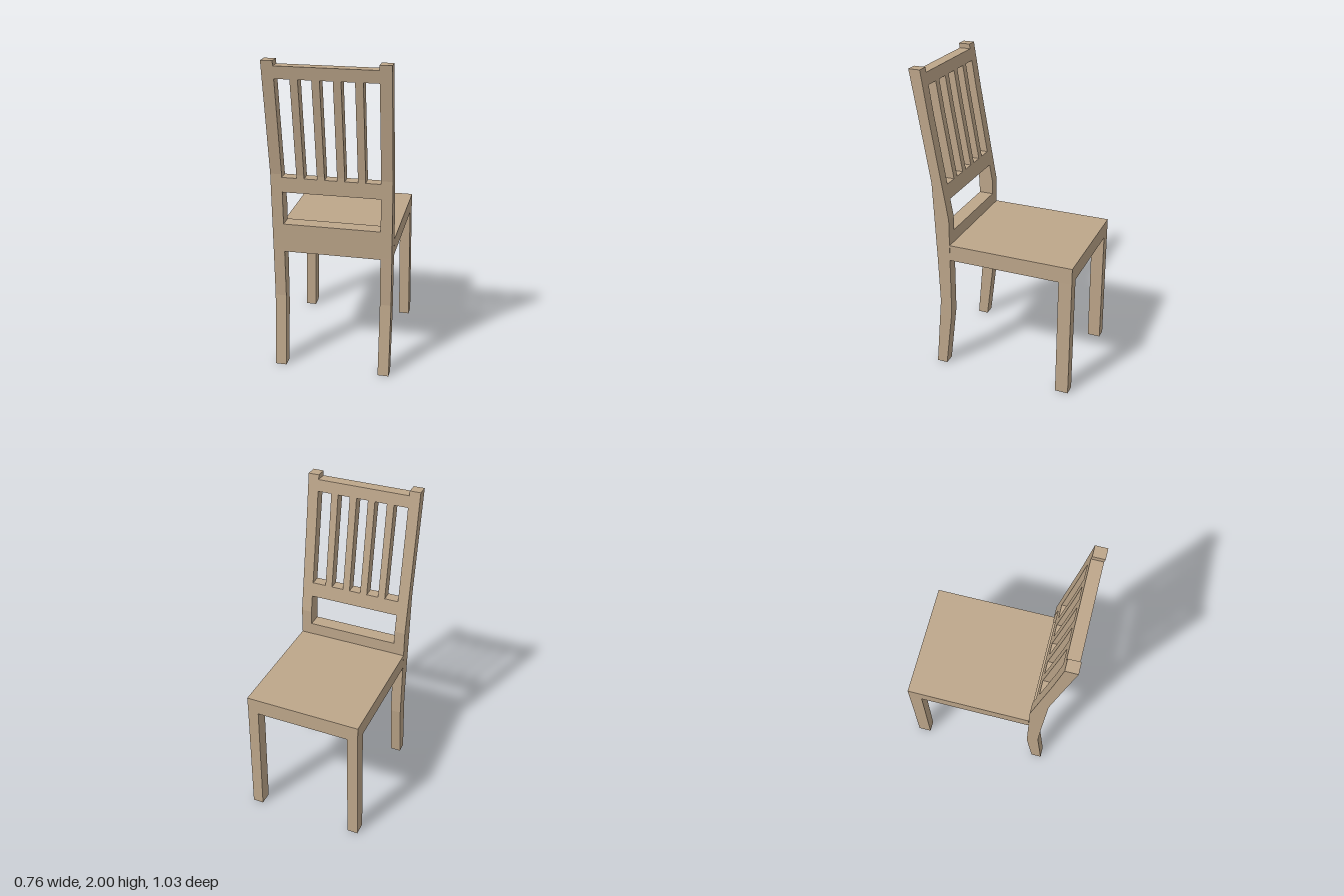
import * as THREE from 'three';

// Side outline of the back frame as [y, z] breakpoints
const INNER = [[0, 0.345], [0.4, 0.296], [1.07, 0.292], [1.71, 0.398], [2, 0.441]];
const OUTER = [[0, 0.414], [0.48, 0.371], [0.8, 0.38], [1.3, 0.399], [1.68, 0.461], [2, 0.515]];

function zAt(curve, y) {
  for (let i = 1; i < curve.length; i++) {
    const [y0, z0] = curve[i - 1], [y1, z1] = curve[i];
    if (y <= y1) return z0 + (z1 - z0) * (y - y0) / (y1 - y0);
  }
  return curve[curve.length - 1][1];
}

// Piece of the bent back frame between two heights and two x positions
function backPiece(x0, x1, y0, y1) {
  const edge = (curve) => [
    [y0, zAt(curve, y0)],
    ...curve.filter(([y]) => y > y0 && y < y1),
    [y1, zAt(curve, y1)],
  ];
  const outline = [...edge(OUTER), ...edge(INNER).reverse()];
  const shape = new THREE.Shape(outline.map(([y, z]) => new THREE.Vector2(-z, y)));
  const geo = new THREE.ExtrudeGeometry(shape, { depth: x1 - x0, bevelEnabled: false });
  geo.rotateY(Math.PI / 2);
  geo.translate(x0, 0, 0);
  return geo;
}

export function createModel() {
  const group = new THREE.Group();
  const wood = new THREE.MeshStandardMaterial({ color: 0xbda68a, flatShading: true });
  wood.name = 'pale wood';

  const add = (name, geo) => {
    const mesh = new THREE.Mesh(geo, wood);
    mesh.name = name;
    group.add(mesh);
  };

  // Thick seat block, reaching back to the rear posts
  const seat = new THREE.BoxGeometry(0.74, 0.105, 0.807);
  seat.translate(0, 0.8425, -0.1115);
  add('seat', seat);

  for (const side of [1, -1]) {
    const label = side > 0 ? 'left' : 'right';

    // Rear leg and back post in one bent piece
    const a = side * 0.3, b = side * 0.37;
    add(label + 'BackPost', backPiece(Math.min(a, b), Math.max(a, b), 0, 2));

    // Straight leg under the free edge, splayed slightly outward
    const leg = new THREE.BoxGeometry(0.07, 0.79, 0.085);
    leg.translate(side * 0.335, 0.395, -0.4725);
    const p = leg.attributes.position;
    for (let i = 0; i < p.count; i++) {
      if (p.getY(i) < 0.1) p.setX(i, p.getX(i) + side * 0.012);
    }
    leg.computeVertexNormals();
    add(label + 'FrontLeg', leg);
  }

  // Rails across the back
  add('seatRail', backPiece(-0.3, 0.3, 0.79, 0.975));
  add('middleRail', backPiece(-0.3, 0.3, 1.185, 1.28));
  add('topRail', backPiece(-0.3, 0.3, 1.895, 1.97));

  // Four upright slats
  for (const x of [-0.186, -0.061, 0.061, 0.186]) {
    add('slat', backPiece(x - 0.023, x + 0.023, 1.28, 1.895));
  }

  return group;
}
